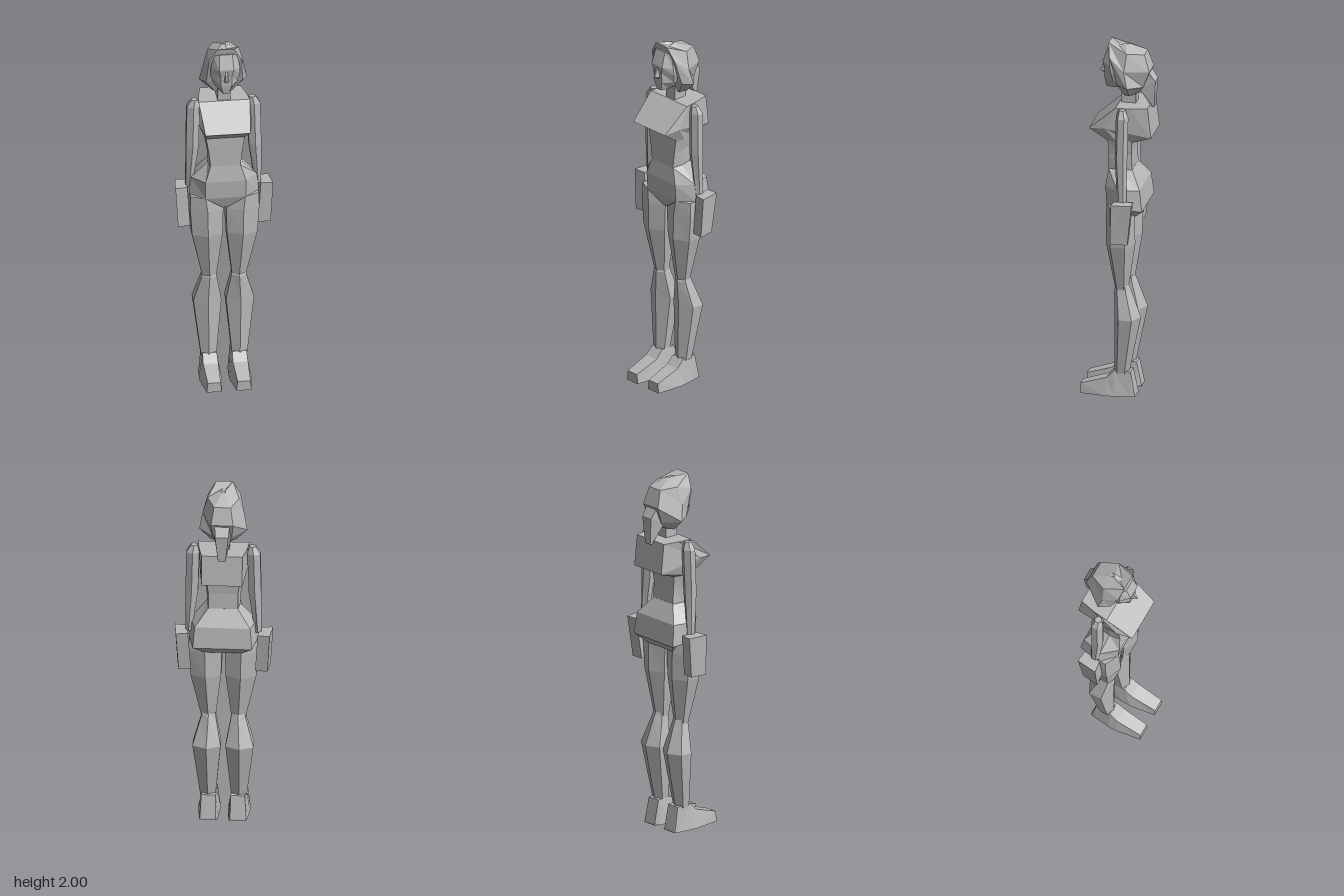
import * as THREE from 'three';

const skin = new THREE.MeshStandardMaterial({ color: 0xb8b8b8, flatShading: true });
skin.name = 'plain grey';

// Closed faceted solid through rings of [x, y, z] points, turned outward by its signed volume
function loft(name, rings) {
  const n = rings[0].length, pts = rings.flat(), idx = [];
  for (let r = 0; r < rings.length - 1; r++) {
    for (let i = 0; i < n; i++) {
      const j = (i + 1) % n, a = r * n + i, b = r * n + j;
      idx.push(a, b, b + n, a, b + n, a + n);
    }
  }
  const cap = (ring, base, flip) => {
    pts.push([0, 1, 2].map(k => ring.reduce((s, p) => s + p[k], 0) / n));
    const c = pts.length - 1;
    for (let i = 0; i < n; i++) {
      const a = base + i, b = base + (i + 1) % n;
      idx.push(...(flip ? [c, b, a] : [c, a, b]));
    }
  };
  const last = rings.length - 1;
  cap(rings[0], 0, true);
  cap(rings[last], last * n, false);
  const v = pts.map(p => new THREE.Vector3(...p));
  let volume = 0;
  for (let i = 0; i < idx.length; i += 3) {
    volume += v[idx[i]].dot(v[idx[i + 1]].clone().cross(v[idx[i + 2]]));
  }
  if (volume < 0) idx.reverse();
  const indexed = new THREE.BufferGeometry().setFromPoints(v);
  indexed.setIndex(idx);
  const geo = indexed.toNonIndexed();
  geo.computeVertexNormals();
  const mesh = new THREE.Mesh(geo, skin);
  mesh.name = name;
  return mesh;
}

// Half ring (front to back on +x) completed across x = 0
const mirrored = half => [...half, ...half.map(([x, y, z]) => [-x, y, z]).reverse()];
const symmetric = (name, halves) => loft(name, halves.map(mirrored));

// Six-sided limb from rows of [y, xInner, xOuter, zBack, zFront], with an edge down front and back
function limb(name, side, rows) {
  return loft(name, rows.map(([y, x0, x1, z0, z1]) => {
    const ring = [];
    for (let i = 0; i < 6; i++) {
      const a = i * Math.PI / 3;
      ring.push([
        side * ((x0 + x1) / 2 + (x1 - x0) / 2 * Math.sin(a) / 0.866), y,
        (z0 + z1) / 2 + (z1 - z0) / 2 * Math.cos(a)]);
    }
    return ring;
  }));
}

export function createModel() {
  const model = new THREE.Group();
  model.name = 'figure';

  // Chest and waist
  model.add(symmetric('torso', [
    [[0.14, 1.66, 0.0], [0.13, 1.66, -0.08], [0.11, 1.66, -0.17]],
    [[0.122, 1.53, 0.15], [0.142, 1.54, 0.06], [0.11, 1.49, -0.19]],
    [[0.105, 1.46, 0.05], [0.11, 1.45, -0.01], [0.09, 1.45, -0.08]],
    [[0.092, 1.38, 0.05], [0.095, 1.38, -0.01], [0.08, 1.38, -0.075]],
    [[0.08, 1.28, 0.05], [0.088, 1.28, -0.01], [0.08, 1.28, -0.08]],
  ]));

  // Hips
  model.add(symmetric('hips', [
    [[0.082, 1.29, 0.05], [0.09, 1.29, -0.01], [0.08, 1.29, -0.08]],
    [[0.11, 1.2, 0.062], [0.18, 1.2, -0.02], [0.15, 1.2, -0.135]],
    [[0.11, 1.1, 0.055], [0.19, 1.1, -0.02], [0.16, 1.08, -0.15]],
    [[0.012, 1.03, 0.03], [0.08, 1.05, -0.02], [0.1, 1.03, -0.1]],
  ]));

  // Neck and head
  model.add(symmetric('neck', [
    [[0.035, 1.64, -0.01], [0.035, 1.64, -0.09]],
    [[0.033, 1.8, -0.01], [0.033, 1.8, -0.09]],
  ]));
  model.add(symmetric('face', [
    [[0.035, 1.97, 0.065], [0.065, 1.96, 0.045], [0.06, 1.96, -0.05]],
    [[0.04, 1.89, 0.092], [0.08, 1.88, 0.045], [0.07, 1.88, -0.05]],
    [[0.03, 1.85, 0.085], [0.08, 1.84, 0.04], [0.07, 1.83, -0.05]],
    [[0.03, 1.79, 0.083], [0.066, 1.79, 0.03], [0.06, 1.78, -0.05]],
    [[0.015, 1.74, 0.075], [0.03, 1.74, 0.03], [0.03, 1.75, -0.04]],
  ]));
  model.add(symmetric('nose', [
    [[0.006, 1.88, 0.088], [0.008, 1.88, 0.07]],
    [[0.004, 1.825, 0.114], [0.018, 1.815, 0.07]],
    [[0.004, 1.81, 0.085], [0.012, 1.805, 0.07]],
  ]));

  // Hair shell and hanging tail
  model.add(symmetric('hair', [
    [[0.01, 1.98, 0.01], [0.01, 1.99, -0.03], [0.01, 1.985, -0.05]],
    [[0.045, 2.0, 0.058], [0.085, 1.955, -0.05], [0.045, 1.945, -0.14]],
    [[0.088, 1.93, 0.045], [0.113, 1.86, -0.04], [0.06, 1.85, -0.17]],
    [[0.1, 1.78, 0.0], [0.13, 1.77, -0.06], [0.05, 1.76, -0.135]],
    [[0.045, 1.705, -0.03], [0.07, 1.71, -0.06], [0.04, 1.72, -0.1]],
  ]));
  model.add(symmetric('hairTail', [
    [[0.04, 1.84, -0.12], [0.04, 1.84, -0.165]],
    [[0.045, 1.75, -0.11], [0.036, 1.79, -0.198]],
    [[0.02, 1.64, -0.175], [0.02, 1.64, -0.19]],
  ]));

  for (const side of [1, -1]) {
    const prefix = side > 0 ? 'left' : 'right';

    // Arm and blocky hand
    model.add(limb(prefix + 'Arm', side, [
      [1.66, 0.14, 0.175, -0.06, -0.02],
      [1.62, 0.13, 0.2, -0.077, -0.008],
      [1.38, 0.137, 0.205, -0.072, -0.003],
      [1.14, 0.17, 0.205, -0.07, -0.02],
    ]));
    const palm = (y, x0, x1, z0, z1) => [
      [side * x0, y, z1 - 0.008], [side * x1, y, z1],
      [side * (x1 - 0.012), y, z0], [side * (x0 - 0.012), y, z0 + 0.006]];
    model.add(loft(prefix + 'Hand', [
      palm(1.145, 0.2, 0.266, -0.113, 0),
      palm(0.915, 0.185, 0.252, -0.087, 0.005),
    ]));

    // Thigh, calf and foot
    model.add(limb(prefix + 'Thigh', side, [
      [1.1, 0.03, 0.185, -0.09, 0.055],
      [1.02, 0.008, 0.188, -0.1, 0.06],
      [0.87, 0.012, 0.178, -0.1, 0.062],
      [0.61, 0.042, 0.12, -0.06, 0.015],
    ]));
    model.add(limb(prefix + 'Calf', side, [
      [0.63, 0.045, 0.115, -0.062, 0.0],
      [0.6, 0.04, 0.122, -0.075, 0.018],
      [0.45, 0.013, 0.165, -0.13, 0.015],
      [0.13, 0.042, 0.126, -0.066, 0.016],
    ]));
    const slice = (z, top, x0, x1, inset) => [
      [side * x0, 0, z], [side * x1, 0, z],
      [side * (x1 - inset), top, z], [side * (x0 + inset), top, z]];
    model.add(loft(prefix + 'Foot', [
      slice(-0.105, 0.01, 0.03, 0.125, 0.01),
      slice(-0.078, 0.14, 0.028, 0.13, 0.012),
      slice(0.01, 0.143, 0.022, 0.14, 0.02),
      slice(0.055, 0.1, 0.02, 0.142, 0.02),
      slice(0.197, 0.055, 0.04, 0.122, 0.006),
    ]));
  }
  return model;
}
